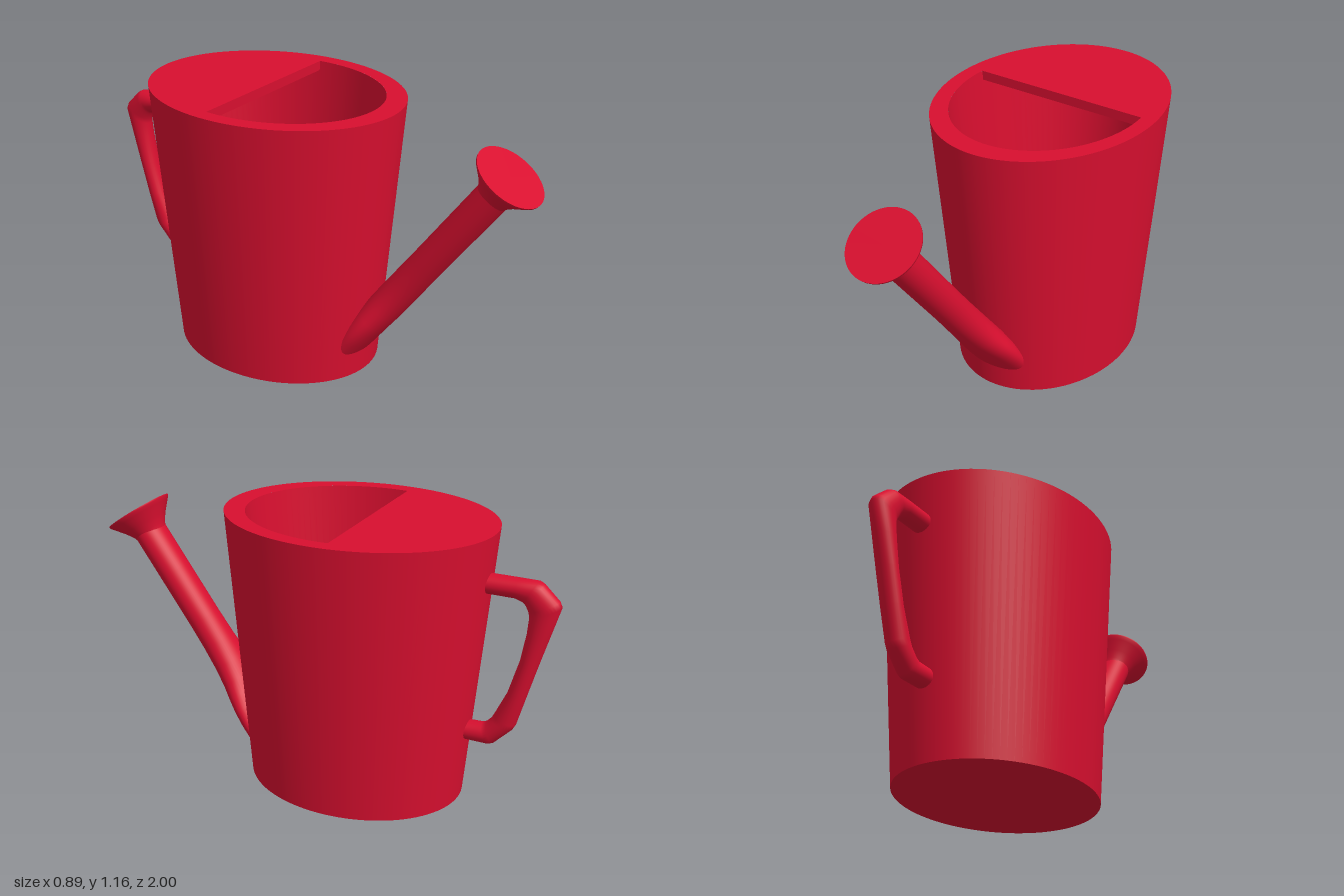
import * as THREE from 'three';

const H = 1.16, CZ = -0.17;

export function createModel() {
  const model = new THREE.Group();
  const red = new THREE.MeshStandardMaterial({ color: 0xd80f2f });
  red.name = 'red';

  function add(name, geometry, parent = model) {
    const mesh = new THREE.Mesh(geometry, red);
    mesh.name = name;
    parent.add(mesh);
    return mesh;
  }

  // Smooth skin through elliptical sections: [outerZ, outerY, innerZ, innerY, halfWidth]
  function loft(sections, sides = 32, minZ = -Infinity) {
    const pos = [], index = [];
    sections.forEach(([zo, yo, zi, yi, w], j) => {
      for (let i = 0; i < sides; i++) {
        const a = (i / sides) * Math.PI * 2, c = Math.cos(a) / 2;
        pos.push(
          w * Math.sin(a),
          (yo + yi) / 2 + (yo - yi) * c,
          Math.max(minZ, (zo + zi) / 2 + (zo - zi) * c));
        if (j === sections.length - 1) continue;
        const p = j * sides + i, q = j * sides + (i + 1) % sides;
        index.push(p, q, p + sides, q, q + sides, p + sides);
      }
    });
    const g = new THREE.BufferGeometry();
    g.setAttribute('position', new THREE.Float32BufferAttribute(pos, 3));
    g.setIndex(index);
    g.computeVertexNormals();
    return g;
  }

  // Oval tapered body
  const body = new THREE.Group();
  body.name = 'body';
  body.position.z = CZ;
  model.add(body);
  add('outerWall', new THREE.CylinderGeometry(1, 0.832, H, 96, 1, true)
    .scale(0.447, 1, 0.56).translate(0, H / 2, 0), body);
  add('base', new THREE.CircleGeometry(0.832, 96)
    .rotateX(Math.PI / 2).scale(0.447, 1, 0.56), body);

  // Hollow inside with a rounded floor
  const inner = [[1, H], [0.83, 0.25], [0.8, 0.17], [0.73, 0.11], [0.62, 0.08], [0.001, 0.075]];
  add('cavity', new THREE.LatheGeometry(inner.map(p => new THREE.Vector2(...p)), 96)
    .scale(0.383, 1, 0.47), body);

  // Flat rim around the opening
  const rim = new THREE.Shape().absellipse(0, 0, 0.447, 0.56, 0, Math.PI * 2);
  rim.holes.push(new THREE.Path().absellipse(0, 0, 0.383, 0.47, 0, Math.PI * 2));
  add('rim', new THREE.ShapeGeometry(rim, 96).rotateX(-Math.PI / 2).translate(0, H, 0), body);

  // Cover plate over the rear half of the opening
  const start = Math.asin(0.045 / 0.47);
  const cover = new THREE.Shape().absellipse(0, 0, 0.384, 0.471, start, Math.PI - start);
  cover.closePath();
  add('cover', new THREE.ExtrudeGeometry(cover, { depth: 0.04, bevelEnabled: false, curveSegments: 64 })
    .rotateX(-Math.PI / 2).translate(0, H - 0.04, 0), body);

  // Spout: [distance below the top end, half width, half depth], flared at the wall
  const dy = 0.812, dz = 0.583, topY = 0.944, topZ = 0.826;
  const spout = [
    [1.02, 0.157, 0.064], [0.93, 0.157, 0.066], [0.86, 0.148, 0.067], [0.8, 0.13, 0.069],
    [0.74, 0.108, 0.07], [0.66, 0.09, 0.07], [0.56, 0.079, 0.069], [0.44, 0.075, 0.068],
    [0.2, 0.074, 0.068], [-0.01, 0.074, 0.068],
  ].map(([s, w, r]) => {
    const z = topZ - dz * s, y = topY - dy * s;
    return [z + dy * r, y - dz * r, z - dy * r, y + dz * r, w];
  });
  add('spout', loft(spout, 48, 0.22));

  // Sprinkler head
  const head = new THREE.Group();
  head.name = 'sprinklerHead';
  head.position.set(0, topY, topZ);
  head.rotation.x = Math.atan2(0.563, 0.827);
  model.add(head);
  const flare = [[0.068, -0.01], [0.075, 0.008], [0.098, 0.042], [0.133, 0.083], [0.145, 0.097], [0.146, 0.104]];
  add('flare', new THREE.LatheGeometry(flare.map(p => new THREE.Vector2(...p)), 64), head);
  add('face', new THREE.CircleGeometry(0.146, 64).rotateX(-Math.PI / 2).translate(0, 0.104, 0), head);

  // Handle at the back
  const handle = [
    [-0.65, 1.0, -0.65, 0.92], [-0.83, 1.0, -0.82, 0.92], [-0.905, 1.0, -0.85, 0.908],
    [-0.925, 0.99, -0.86, 0.898], [-0.988, 0.93, -0.873, 0.872], [-0.998, 0.908, -0.877, 0.85],
    [-0.965, 0.79, -0.873, 0.785], [-0.93, 0.665, -0.855, 0.67], [-0.893, 0.525, -0.815, 0.525],
    [-0.858, 0.39, -0.768, 0.42], [-0.845, 0.365, -0.758, 0.4], [-0.775, 0.292, -0.738, 0.377],
    [-0.755, 0.283, -0.72, 0.367], [-0.61, 0.283, -0.61, 0.362],
  ].map(p => [...p, 0.045]);
  add('handle', loft(handle, 28));

  return model;
}
